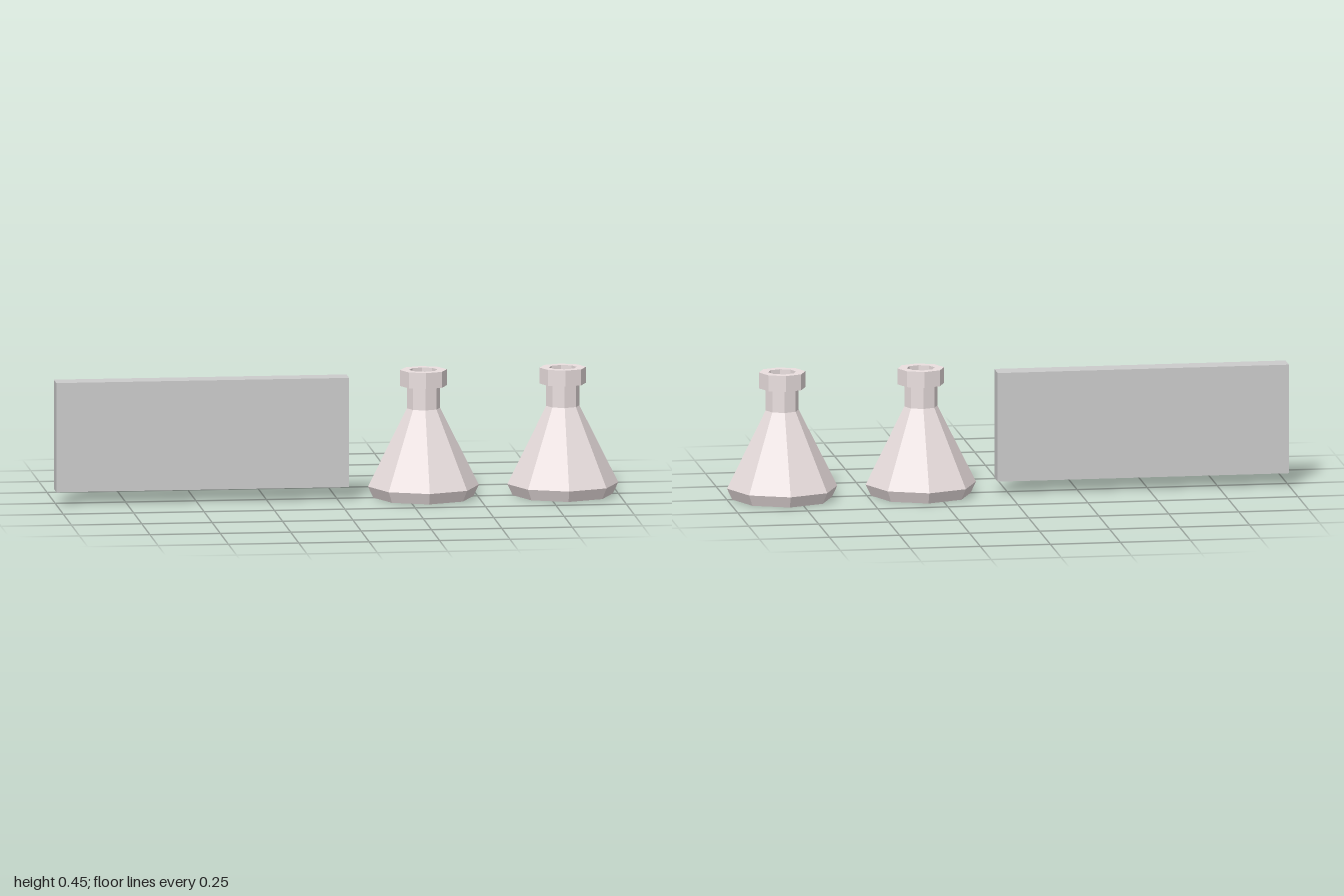
import * as THREE from 'three';

const SIDES = 8;

// Eight-sided faceted solid turned from [radius, height] pairs
function turned(name, profile, material) {
  const points = profile.map(([r, y]) => new THREE.Vector2(r, y));
  const mesh = new THREE.Mesh(new THREE.LatheGeometry(points, SIDES), material);
  mesh.name = name;
  return mesh;
}

export function createModel() {
  const model = new THREE.Group();
  model.name = 'flasksAndPanel';

  const grey = new THREE.MeshStandardMaterial({ color: 0xcccccc, flatShading: true });
  const glass = new THREE.MeshStandardMaterial({ color: 0xeadfdf, flatShading: true });
  const green = new THREE.MeshStandardMaterial({ color: 0x28c828, flatShading: true });

  // Flat upright panel
  const panel = new THREE.Mesh(new THREE.BoxGeometry(1.04, 0.39, 0.08), grey);
  panel.name = 'panel';
  panel.position.set(-0.48, 0.24, -0.003);
  model.add(panel);

  // Hollow flask: up the outside, over the rim, down the inside
  const flaskProfile = [
    [0, 0], [0.178, 0], [0.197, 0.04], [0.059, 0.317], [0.059, 0.397],
    [0.083, 0.397], [0.083, 0.454], [0.05, 0.454],
    [0.05, 0.315], [0.185, 0.042], [0.17, 0.012], [0, 0.012],
  ];
  // Liquid filling the lower part of a flask
  const liquidProfile = [[0, 0.014], [0.168, 0.014], [0.182, 0.042], [0.115, 0.175], [0, 0.175]];

  const flasks = [
    { name: 'emptyFlask', x: 0.308, filled: false },
    { name: 'filledFlask', x: 0.803, filled: true },
  ];
  for (const { name, x, filled } of flasks) {
    const flask = new THREE.Group();
    flask.name = name;
    flask.position.x = x;
    flask.add(turned('flaskBody', flaskProfile, glass));
    if (filled) flask.add(turned('liquid', liquidProfile, green));
    model.add(flask);
  }

  return model;
}
